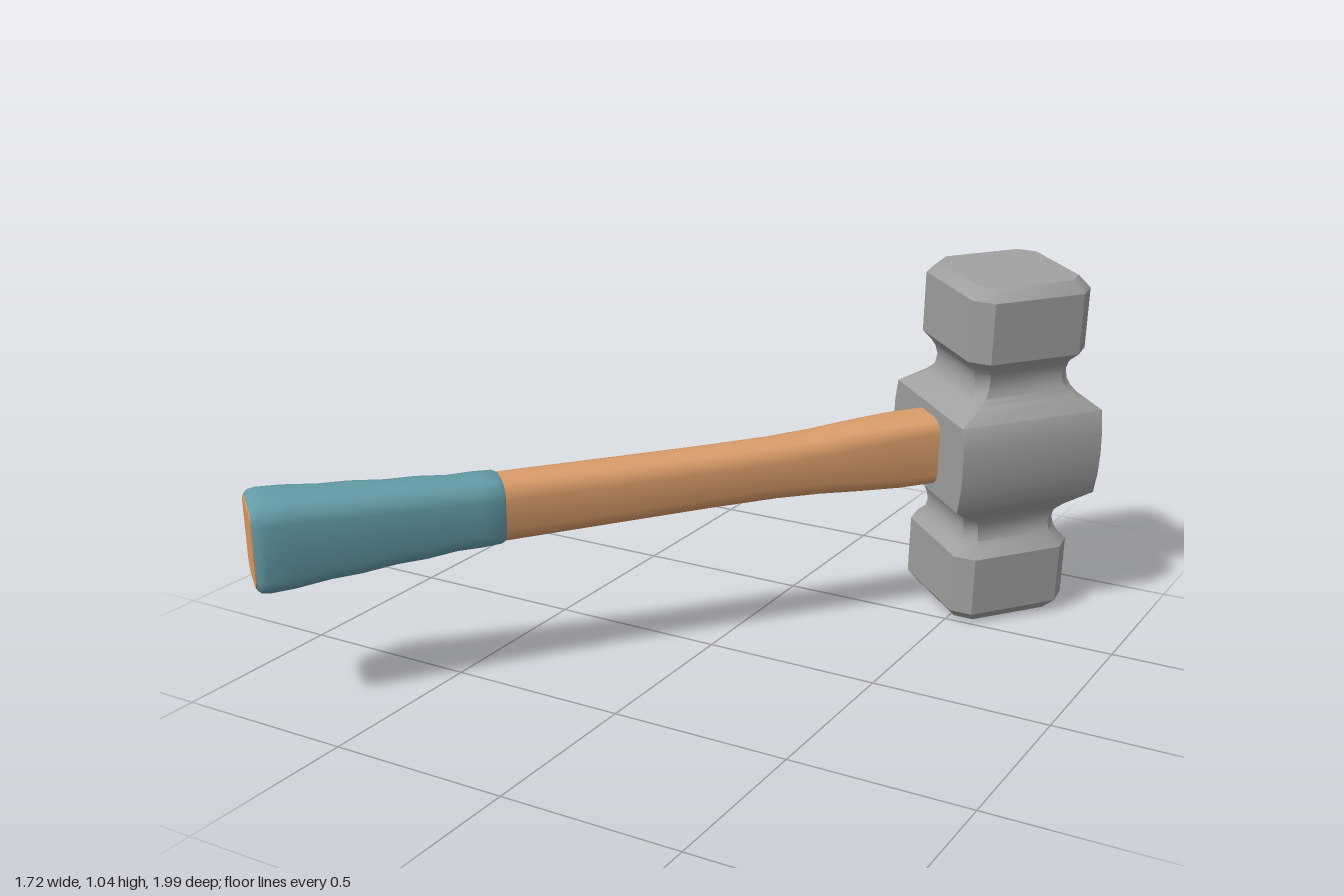
import * as THREE from 'three';
import { toCreasedNormals } from 'three/addons/utils/BufferGeometryUtils.js';

// Rounded rectangle, half sizes a (x) and b (z), corner c with n facets
function section(y, a, b, c, n) {
  const pts = [];
  const corners = [[1, 1], [-1, 1], [-1, -1], [1, -1]];
  corners.forEach(([sx, sz], k) => {
    for (let i = 0; i <= n; i++) {
      const t = (k + i / n) * Math.PI / 2;
      pts.push([sx * (a - c) + c * Math.cos(t), y, sz * (b - c) + c * Math.sin(t)]);
    }
  });
  return pts;
}

// Closed skin through sections given as [y, halfX, halfZ, corner]
function loft(rows, n) {
  const rings = rows.map(([y, a, b, c]) => section(y, a, b, c, n));
  const m = rings[0].length, last = rings.length - 1;
  const pos = rings.flat(2), index = [];
  for (let r = 0; r < last; r++) {
    for (let j = 0; j < m; j++) {
      const a = r * m + j, b = r * m + (j + 1) % m;
      index.push(a, a + m, b, b, a + m, b + m);
    }
  }
  const bottom = m * rings.length, top = bottom + 1;
  pos.push(0, rows[0][0], 0, 0, rows[last][0], 0);
  for (let j = 0; j < m; j++) {
    const k = (j + 1) % m;
    index.push(bottom, j, k, top, last * m + k, last * m + j);
  }
  const g = new THREE.BufferGeometry();
  g.setAttribute('position', new THREE.Float32BufferAttribute(pos, 3));
  g.setIndex(index);
  return toCreasedNormals(g, 0.68);
}

export function createModel() {
  const material = (name, color) => {
    const m = new THREE.MeshStandardMaterial({ color });
    m.name = name;
    return m;
  };
  const steel = material('steel grey', 0xa0a0a0);
  const wood = material('wood', 0xd99b68);
  const rubber = material('teal grip', 0x639ca6);

  const model = new THREE.Group();
  model.name = 'sledgehammer';
  const hammer = new THREE.Group();
  hammer.name = 'tiltedHammer';
  hammer.rotation.set(0.09, 0.88, 0.022, 'YZX');
  hammer.position.set(0.553, 0.515, -0.685);
  model.add(hammer);

  // Head: bulging eye block, scooped necks, chamfered striking blocks
  const half = [
    [0, 0.22, 0.217, 0.001],
    [0.065, 0.22, 0.213, 0.001],
    [0.127, 0.22, 0.2, 0.001],
    [0.168, 0.168, 0.165, 0.022],
    [0.185, 0.155, 0.154, 0.027],
    [0.205, 0.147, 0.147, 0.03],
    [0.23, 0.144, 0.144, 0.031],
    [0.255, 0.15, 0.15, 0.033],
    [0.275, 0.162, 0.162, 0.038],
    [0.297, 0.183, 0.183, 0.046],
    [0.472, 0.183, 0.183, 0.046],
    [0.505, 0.155, 0.155, 0.04],
  ];
  const mirrored = half.slice(1).reverse().map(([y, ...rest]) => [-y, ...rest]);
  const head = new THREE.Mesh(loft([...mirrored, ...half], 1), steel);
  head.name = 'head';
  hammer.add(head);

  // Handle parts run along local x
  const addShaft = (name, rows, mat) => {
    const mesh = new THREE.Mesh(loft(rows, 3), mat);
    mesh.name = name;
    mesh.rotation.z = -Math.PI / 2;
    hammer.add(mesh);
  };
  addShaft('handle', [
    [-1.5, 0.088, 0.065, 0.045],
    [-1.2, 0.085, 0.064, 0.045],
    [-0.9, 0.082, 0.064, 0.045],
    [-0.7, 0.082, 0.065, 0.045],
    [-0.57, 0.087, 0.067, 0.045],
    [-0.45, 0.095, 0.07, 0.043],
    [-0.33, 0.1, 0.074, 0.04],
    [-0.19, 0.1, 0.074, 0.036],
  ], wood);

  // Lumpy sleeve, flaring to the butt
  addShaft('grip', [
    [-2.115, 0.112, 0.08, 0.035],
    [-2.105, 0.12, 0.09, 0.042],
    [-2.085, 0.123, 0.094, 0.046],
    [-2.02, 0.122, 0.091, 0.048],
    [-1.93, 0.114, 0.085, 0.048],
    [-1.85, 0.111, 0.084, 0.048],
    [-1.76, 0.104, 0.077, 0.048],
    [-1.68, 0.102, 0.076, 0.048],
    [-1.6, 0.095, 0.071, 0.047],
    [-1.53, 0.095, 0.072, 0.047],
    [-1.48, 0.093, 0.069, 0.046],
    [-1.47, 0.088, 0.065, 0.045],
  ], rubber);
  addShaft('buttEnd', [
    [-2.118, 0.108, 0.077, 0.033],
    [-2.112, 0.108, 0.077, 0.033],
  ], wood);

  return model;
}
